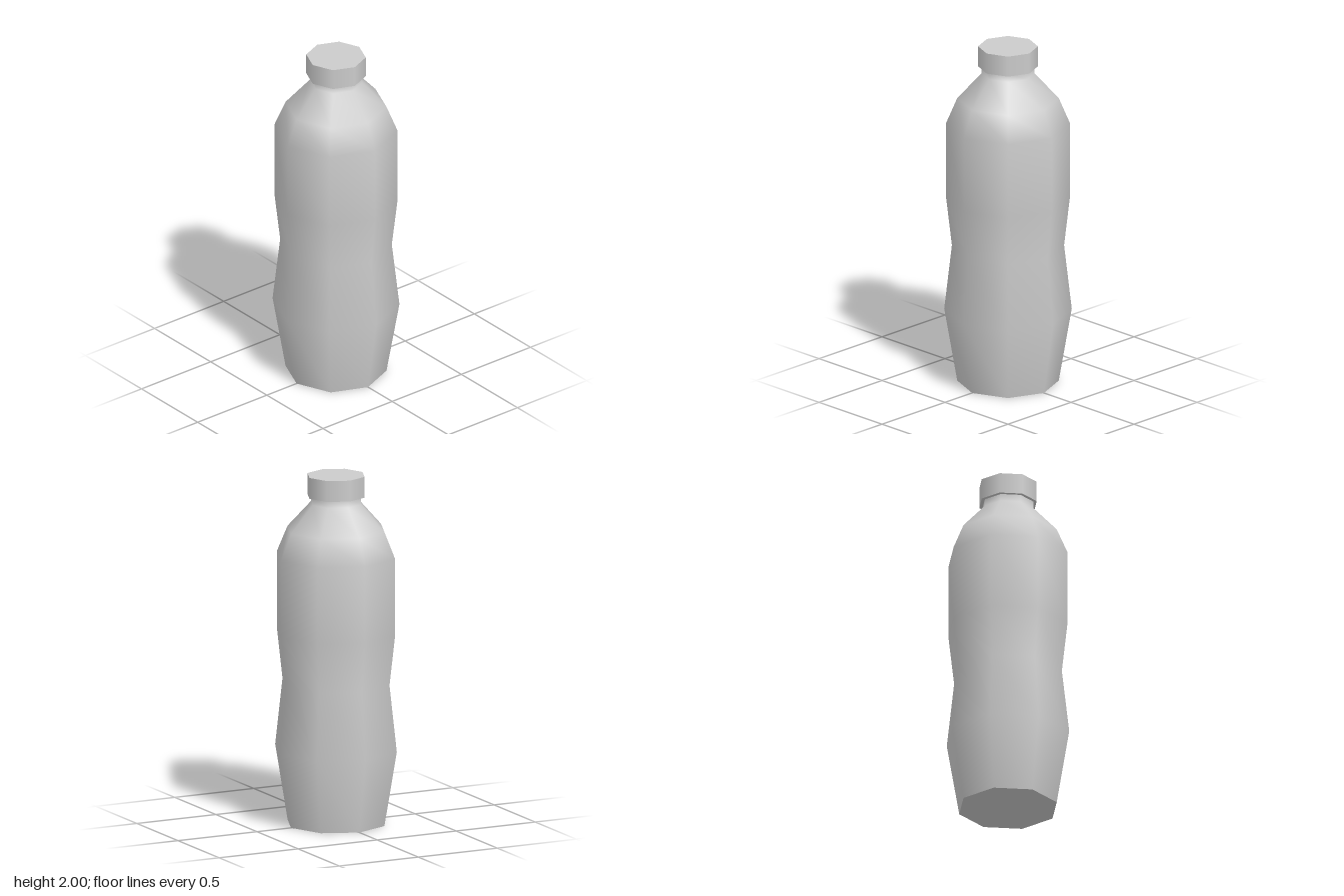
import * as THREE from 'three';

const SIDES = 8;

export function createModel() {
  const group = new THREE.Group();
  group.name = 'bottle';
  const material = new THREE.MeshStandardMaterial({ color: 0xcccccc });

  const add = (name, geometry, y = 0) => {
    const mesh = new THREE.Mesh(geometry, material);
    mesh.name = name;
    mesh.position.y = y;
    group.add(mesh);
  };

  // Body with a narrowed grip, sloping shoulder and short neck (radius, height)
  const profile = [
    [0.285, 0], [0.358, 0.43], [0.315, 0.81], [0.348, 1.1],
    [0.348, 1.54], [0.285, 1.69], [0.148, 1.84], [0.148, 1.89],
  ].map(([r, y]) => new THREE.Vector2(r, y));
  add('body', new THREE.LatheGeometry(profile, SIDES));

  // Flat underside, kept separate for a crisp edge
  add('base', new THREE.CircleGeometry(0.285, SIDES).rotateX(Math.PI / 2));

  // Screw cap overhanging the neck
  add('cap', new THREE.CylinderGeometry(0.168, 0.168, 0.12, SIDES), 1.94);

  return group;
}
